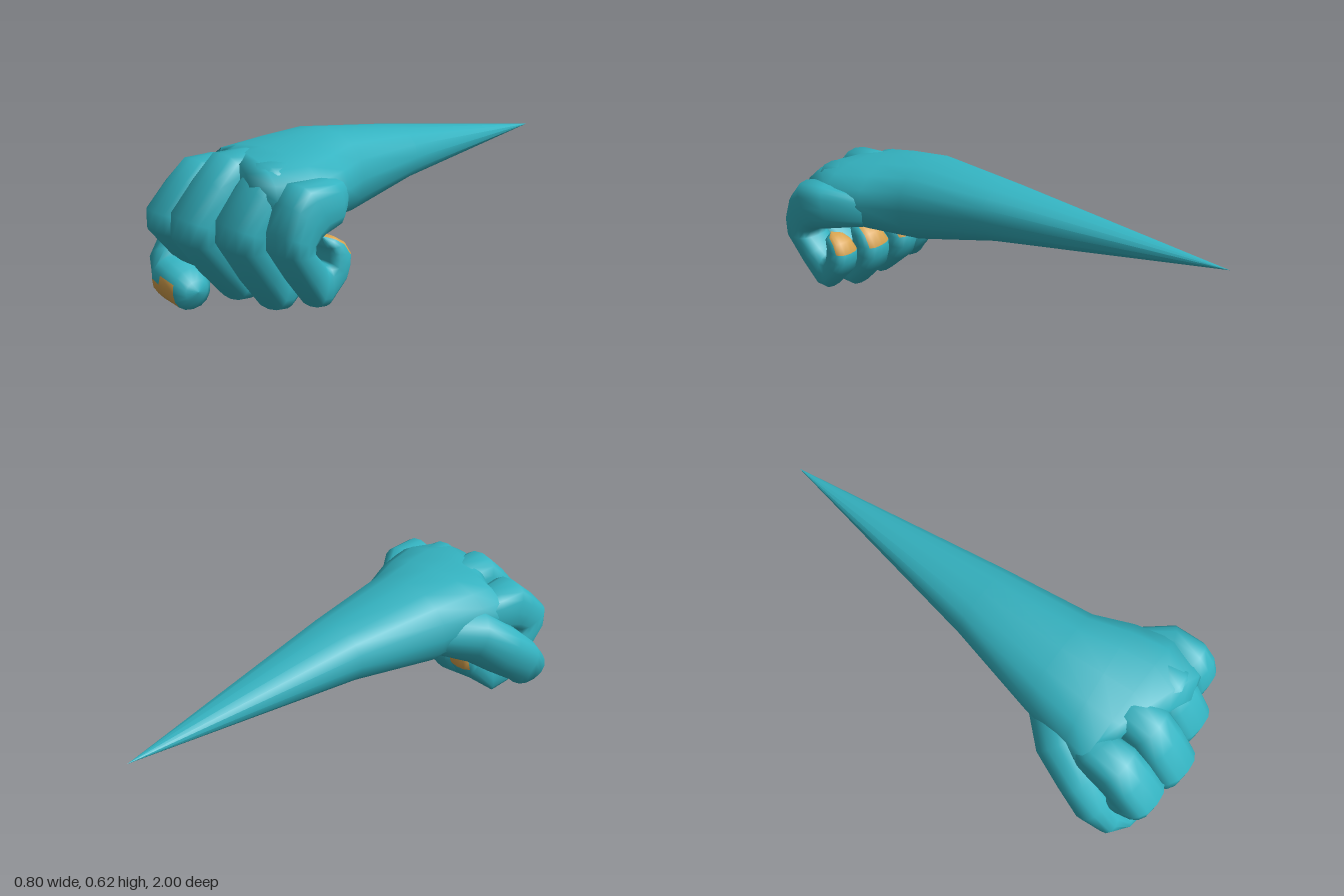
import * as THREE from 'three';

const SIDES = 16;
const skin = new THREE.MeshStandardMaterial({ color: 0x34b3c1 });
skin.name = 'teal skin';
const nail = new THREE.MeshStandardMaterial({ color: 0xd6a24e });
nail.name = 'ochre nail';

// Skins a chain of rounded cross-sections. Each ring spans from an outer point
// to an inner point with a half width; isNail(segment, side) picks nail faces.
function loft(name, rings, power, isNail = () => false) {
  const V = (p) => new THREE.Vector3(...p);
  const centres = rings.map((r) => V(r.outer).add(V(r.inner)).multiplyScalar(0.5));
  const round = (v) => Math.sign(v) * Math.abs(v) ** power;
  const positions = [], skinIndex = [], nailIndex = [];
  rings.forEach((r, i) => {
    const along = centres[Math.min(i + 1, rings.length - 1)].clone().sub(centres[Math.max(i - 1, 0)]);
    const out = V(r.outer).sub(centres[i]);
    const side = along.cross(out).normalize().multiplyScalar(r.w);
    for (let j = 0; j < SIDES; j++) {
      const t = (j / SIDES) * Math.PI * 2;
      const p = centres[i].clone().addScaledVector(out, round(Math.cos(t))).addScaledVector(side, round(Math.sin(t)));
      positions.push(p.x, p.y, p.z);
    }
  });
  for (let i = 0; i < rings.length - 1; i++) {
    for (let j = 0; j < SIDES; j++) {
      const k = (j + 1) % SIDES;
      const a = i * SIDES + j, b = i * SIDES + k, c = b + SIDES, d = a + SIDES;
      (isNail(i, j) ? nailIndex : skinIndex).push(a, b, c, a, c, d);
    }
  }
  const g = new THREE.BufferGeometry();
  g.setAttribute('position', new THREE.Float32BufferAttribute(positions, 3));
  g.setIndex([...skinIndex, ...nailIndex]);
  g.addGroup(0, skinIndex.length, 0);
  if (nailIndex.length) g.addGroup(skinIndex.length, nailIndex.length, 1);
  g.computeVertexNormals();
  const mesh = new THREE.Mesh(g, [skin, nail]);
  mesh.name = name;
  return mesh;
}

// Tapered forearm running into the back of the hand: z, centre x, top, bottom, half width
const ARM = [
  [-1, 0, 0.44, 0.44, 0], [-0.02, 0, 0.577, 0.35, 0.16], [0.36, -0.01, 0.62, 0.28, 0.23],
  [0.54, 0.01, 0.61, 0.3, 0.285], [0.67, 0.025, 0.597, 0.32, 0.315], [0.74, 0.01, 0.585, 0.35, 0.28],
  [0.775, -0.01, 0.565, 0.38, 0.2], [0.785, -0.01, 0.47, 0.47, 0],
];

// Curled finger: outer z, y, inner z, y, relative width
const FINGER = [
  [0.5, 0.55, 0.5, 0.37, 0.7], [0.7, 0.59, 0.66, 0.36, 0.95], [0.82, 0.59, 0.71, 0.35, 1.02],
  [0.9, 0.51, 0.76, 0.34, 1.05], [1, 0.39, 0.8, 0.32, 1.06], [1, 0.3, 0.8, 0.29, 1.04],
  [0.88, 0.15, 0.74, 0.24, 0.98], [0.77, 0.03, 0.71, 0.21, 0.84], [0.7, 0.02, 0.68, 0.21, 0.8],
  [0.57, 0.12, 0.68, 0.22, 0.84], [0.54, 0.18, 0.68, 0.24, 0.82], [0.53, 0.235, 0.68, 0.26, 0.76],
  [0.57, 0.29, 0.69, 0.28, 0.66], [0.63, 0.322, 0.7, 0.295, 0.5], [0.69, 0.328, 0.69, 0.328, 0],
];

// Thumb wrapping down and across the front: outer point, inner point, half width
const THUMB = [
  [[-0.18, 0.37, 0.35], [-0.05, 0.5, 0.45], 0.08], [[-0.32, 0.36, 0.49], [-0.15, 0.43, 0.6], 0.115],
  [[-0.37, 0.27, 0.64], [-0.21, 0.32, 0.69], 0.11], [[-0.4, 0.19, 0.76], [-0.24, 0.24, 0.76], 0.098],
  [[-0.365, 0.09, 0.84], [-0.25, 0.18, 0.83], 0.092], [[-0.257, 0.018, 0.87], [-0.24, 0.183, 0.87], 0.09],
  [[-0.235, 0.014, 0.872], [-0.22, 0.172, 0.872], 0.088], [[-0.14, 0.002, 0.88], [-0.15, 0.155, 0.88], 0.08],
  [[-0.115, 0.04, 0.88], [-0.115, 0.115, 0.88], 0.05], [[-0.105, 0.075, 0.88], [-0.105, 0.075, 0.88], 0],
];

// push moves the knuckle forward, lean moves the curled tip sideways
function finger({ name, top, bottom, w, reach, up, down, push = 0, lean = 0, nailFrom = 11, nailHalf = 2 }) {
  const rings = FINGER.map(([oz, oy, iz, iy, s], i) => {
    // one x per ring keeps the finger level; the root bends inwards under the palm
    let x = THREE.MathUtils.mapLinear((oy + iy) / 2, 0.05, 0.55, bottom, top);
    if (i === 0) x *= 0.75;
    if (i >= 9) x += lean;
    const place = (z, y) => [x, 0.3 + (y - 0.3) * (y > 0.3 ? up : down), 0.6 + (z - 0.6) * reach];
    const outer = place(oz, oy);
    if (i === 2 || i === 3) outer[2] += push;
    return { outer, inner: place(iz, iy), w: w * s };
  });
  // The nail runs over the back of the fingertip and up under the palm
  return loft(name, rings, 0.76, (i, j) => i >= nailFrom && (j < nailHalf || j >= SIDES - nailHalf));
}

export function createModel() {
  const model = new THREE.Group();
  model.name = 'fist';
  model.add(loft('forearmAndPalm', ARM.map(([z, x, t, b, w]) => (
    { outer: [x, t, z], inner: [x, b, z], w })), 0.88));

  // Four fingers from the thumb side outwards
  [
    { name: 'indexFinger', top: -0.2, bottom: -0.22, w: 0.097, reach: 0.95, up: 0.84, down: 0.9, lean: 0.05, nailFrom: 10 },
    { name: 'middleFinger', top: -0.015, bottom: -0.07, w: 0.099, reach: 1, up: 1, down: 1 },
    { name: 'ringFinger', top: 0.16, bottom: 0.11, w: 0.1, reach: 0.86, up: 0.95, down: 1 },
    { name: 'littleFinger', top: 0.315, bottom: 0.3, w: 0.083, reach: 0.68, up: 0.79, down: 0.82, push: 0.035, nailHalf: 3 },
  ].forEach((f) => model.add(finger(f)));

  // Nail sits on the front lower face of the thumb tip
  model.add(loft('thumb', THUMB.map(([outer, inner, w]) => ({ outer, inner, w })), 0.9,
    (i, j) => j <= 14 && ((i === 5 && j >= 12) || (i === 6 && j >= 11))));
  return model;
}
